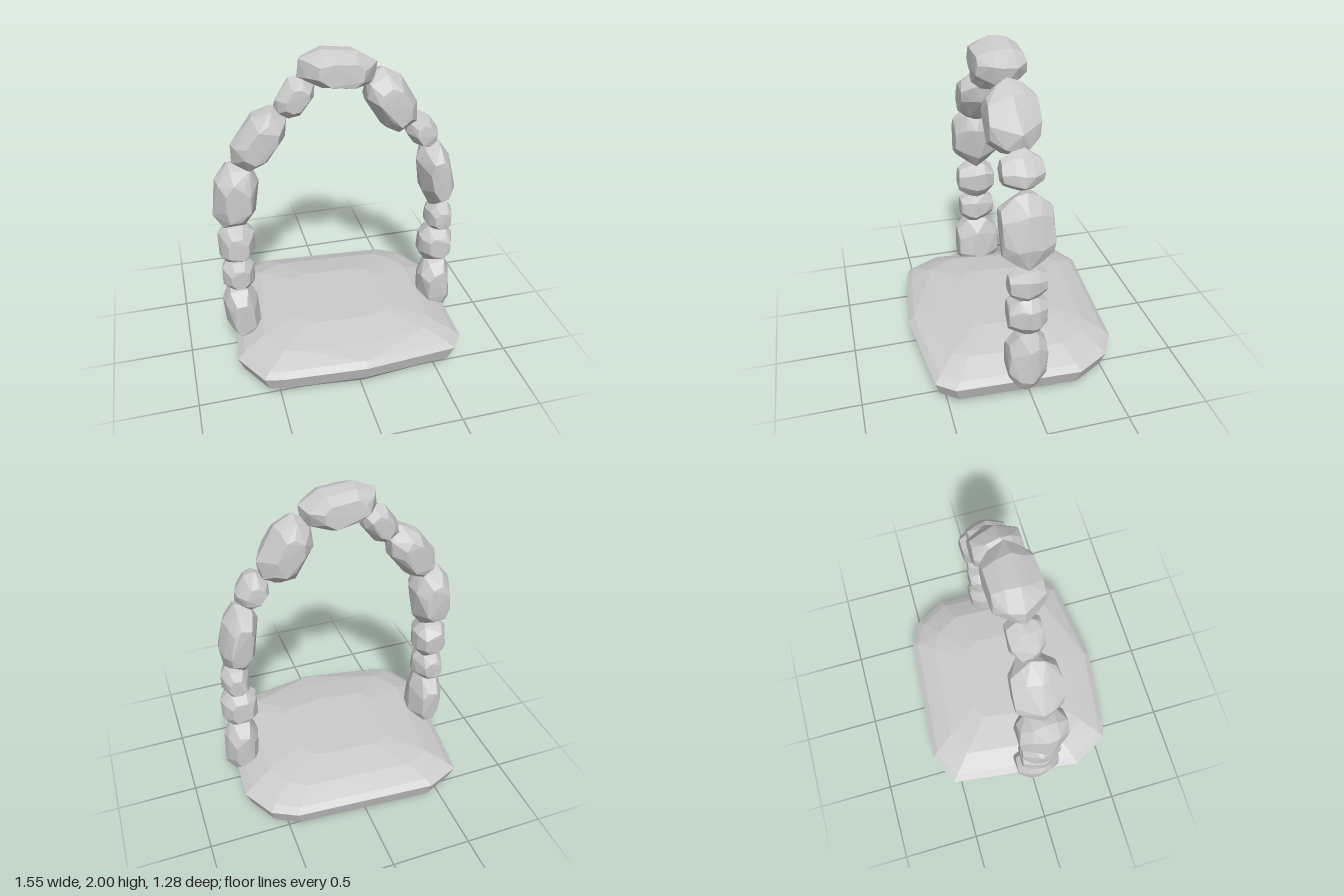
import * as THREE from 'three';
import { ConvexGeometry } from 'three/addons/geometries/ConvexGeometry.js';

const material = new THREE.MeshStandardMaterial({ color: 0xcccccc, flatShading: true });

// small repeatable noise, 0..1
function makeNoise(seed) {
  let s = seed * 7919 + 17;
  return () => (s = (s * 16807) % 2147483647) / 2147483647;
}

function hull(name, points) {
  const mesh = new THREE.Mesh(new ConvexGeometry(points), material);
  mesh.name = name;
  return mesh;
}

// Faceted boulder: an eight-cornered outline swept through depth, shrinking to front and back
function stone(seed, name, x, y, width, height, tilt, depth) {
  const noise = makeNoise(seed);
  const points = [];
  for (let ring = -2; ring <= 2; ring++) {
    const size = 1 - 0.1 * ring * ring;
    for (let corner = 0; corner < 8; corner++) {
      const sx = corner & 1 ? 1 : -1, sy = corner & 2 ? 1 : -1;
      const cut = 0.5 + 0.24 * (noise() - 0.5);
      const [u, v] = corner & 4 ? [1, cut] : [cut, 1];
      const s = ring === 0 ? 1 : size * (0.87 + 0.16 * noise());
      const z = (ring / 2) * (0.88 + 0.12 * noise()) + (ring === 0 ? 0.4 * (noise() - 0.5) : 0);
      points.push(new THREE.Vector3(sx * u * s * width / 2, sy * v * s * height / 2, z * depth / 2));
    }
  }
  const mesh = hull(name, points);
  mesh.position.set(x, y, 0.03);
  mesh.rotation.z = THREE.MathUtils.degToRad(tilt);
  return mesh;
}

// Stones: name, centre x, centre y, width, height, tilt in degrees, depth
const LEFT_STONES = [
  ['leftFootStone', 0.655, 0.29, 0.22, 0.42, 3, 0.24],
  ['leftBlockStone', 0.645, 0.62, 0.23, 0.26, 0, 0.24],
  ['leftPebble', 0.655, 0.825, 0.17, 0.2, 0, 0.23],
  ['leftTallStone', 0.61, 1.14, 0.21, 0.44, 11, 0.3],
  ['leftSmallStone', 0.505, 1.445, 0.17, 0.22, 35, 0.24],
  ['leftUpperStone', 0.3, 1.665, 0.25, 0.41, 32, 0.3],
];
const RIGHT_STONES = [
  ['rightFootStone', -0.65, 0.315, 0.22, 0.41, 4, 0.29],
  ['rightPebble', -0.655, 0.61, 0.2, 0.22, 0, 0.24],
  ['rightBlockStone', -0.65, 0.83, 0.22, 0.26, 0, 0.25],
  ['rightTallStone', -0.635, 1.16, 0.26, 0.42, -7, 0.3],
  ['rightUpperStone', -0.48, 1.505, 0.23, 0.41, -38, 0.28],
  ['rightSmallStone', -0.265, 1.735, 0.18, 0.26, -38, 0.2],
];
const KEYSTONE = ['keystone', -0.02, 1.88, 0.45, 0.22, -7, 0.3];

// Base slab rim seen from above: x, z
const RIM = [
  [-0.62, -0.55], [-0.41, -0.645], [0.46, -0.585], [0.61, -0.5], [0.72, -0.3], [0.69, 0.46],
  [0.61, 0.57], [0.02, 0.64], [-0.49, 0.58], [-0.6, 0.55], [-0.73, 0.32],
];
function baseSlab() {
  const points = [];
  for (const [x, z] of RIM) {
    const y = 0.185 - 0.05 * Math.abs(x);
    const add = (scale, height) => points.push(new THREE.Vector3(x * scale, height, z * scale));
    add(1, y);
    add(0.95, y - 0.1); // lower edge
    add(0.86, 0.01 + 0.04 * Math.abs(x)); // underside
    add(0.94, y + 0.03); // upper edge
    add(0.75, 0.24); // domed top
    add(0.42, 0.275);
  }
  points.push(new THREE.Vector3(0, 0, 0.5));
  return hull('baseSlab', points);
}

export function createModel() {
  const model = new THREE.Group();
  model.name = 'stoneArch';
  model.add(baseSlab());
  [...LEFT_STONES, ...RIGHT_STONES, KEYSTONE].forEach((spec, i) => model.add(stone(i + 1, ...spec)));
  return model;
}
